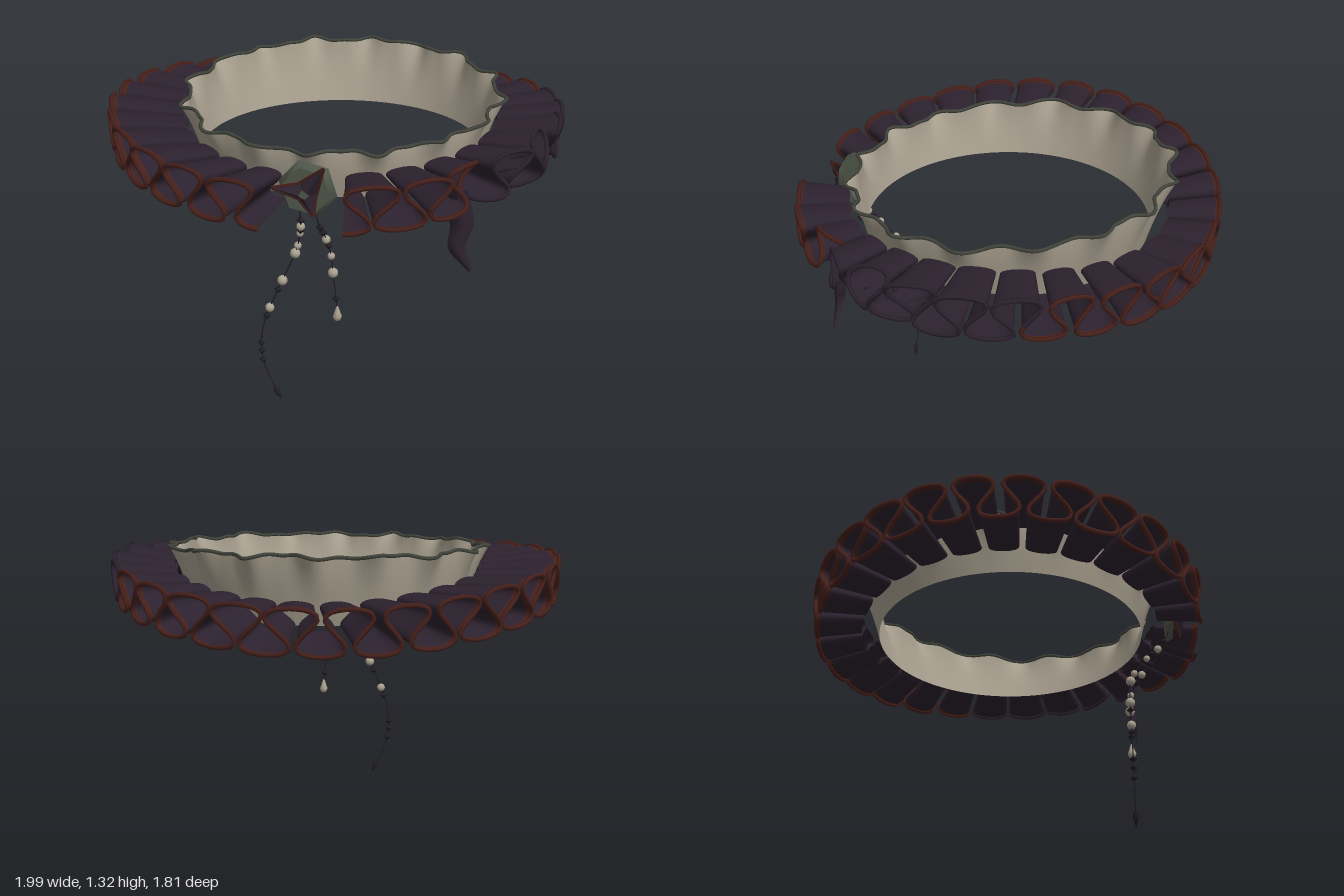
import * as THREE from 'three';
import { ParametricGeometry } from 'three/addons/geometries/ParametricGeometry.js';

const mat = (name, color, open) => {
  const m = new THREE.MeshStandardMaterial({ color });
  m.name = name;
  if (open) m.side = THREE.DoubleSide;
  return m;
};

export function createModel() {
  const M = {
    cloth: mat('dark purple cloth', 0x2c212e, true),
    red: mat('rust red edging', 0x46201b, true),
    linen: mat('linen', 0xaaa190, true),
    trim: mat('grey green trim', 0x42453c),
    plate: mat('clasp green grey', 0x50564a),
    black: mat('black bead', 0x221c24),
    pearl: mat('pearl', 0xaaa18f),
  };
  const root = new THREE.Group();
  const V = (x, y, z) => new THREE.Vector3(x, y, z);
  const { lerp, smoothstep } = THREE.MathUtils;
  const add = (name, geo, material, parent = root) => {
    const mesh = new THREE.Mesh(geo, material);
    mesh.name = name;
    parent.add(mesh);
    return mesh;
  };
  const sheet = (f, nu, nv) => new ParametricGeometry((u, v, p) => p.copy(f(u, v)), nu, nv);
  const tube = (pts, r, n, sides = 5, closed = false) =>
    new THREE.TubeGeometry(new THREE.CatmullRomCurve3(pts, closed), n, r, sides, closed);

  // Neck band: plain at the foot, flaring into waves at the top, higher at the back
  const band = (u, v) => {
    const a = u * Math.PI * 2;
    const wave = Math.cos(16 * a + 0.6 * Math.sin(2 * a)) + 0.25 * Math.cos(32 * a + 1.2 * Math.sin(2 * a));
    const r = 0.62 + v * 0.066 + 0.024 * wave * v ** 3;
    const top = 1.268 - 0.043 * Math.cos(a) + 0.006 * Math.sin(11 * a) + 0.004 * Math.sin(29 * a);
    return V(0.032 + r * Math.sin(a), 1.02 + (top - 1.02) * v, r * Math.cos(a) - 0.015 * v);
  };
  add('neckBand', sheet(band, 224, 8), M.linen);
  const topEdge = Array.from({ length: 224 }, (_, i) => band(i / 224, 1));
  add('neckBandTrim', tube(topEdge, 0.008, 448, 5, true), M.trim);

  // Ruff: one long ribbon meandering up and down around the neck, open at the front
  const PLEATS = 26, START = 0.2, SPAN = Math.PI * 2 - 0.34;
  const ruff = (s, v) => {
    const t = Math.PI + s * PLEATS * Math.PI * 2;
    const base = START + s * SPAN;
    const torn = smoothstep(base, 0.6, 0.8) * (1 - smoothstep(base, 1.4, 1.6));
    const notch = 0.09 * Math.exp(-(((base - 0.8) / 0.1) ** 2));
    const a = base + (0.07 + 0.008 * Math.sin(base * 5)) * Math.sin(2 * t);
    const crumple = torn * v * 0.012 * Math.sin(base * 31);
    const out = 1 - notch - torn * (0.025 + 0.035 * Math.sin(base * 47)) + 0.01 * Math.cos(t + 0.8);
    const rx = lerp(0.69, 0.98 * out, v);
    const rz = lerp(0.70, 0.9 * out, v);
    const c = Math.cos(base);
    // The ribbon droops outwards at the front and back and is narrower at the neck
    const mid = 1.137 - (c > 0 ? 0.065 : 0.088) * c * c * lerp(0.7, 1, v);
    const h = lerp(0.06, 0.095, v);
    return V(0.028 * (1 - v) + rx * Math.sin(a), mid + h * Math.cos(t) + crumple, rz * Math.cos(a));
  };
  // Edging is rust red except along the worn stretch on the left side
  const WORN0 = 0.11, WORN1 = 0.3;
  const stretches = [[0, WORN0, M.red], [WORN0, WORN1, M.cloth], [WORN1, 1, M.red]];
  for (const [s0, s1, edge] of stretches) {
    const n = Math.round((s1 - s0) * PLEATS * 28);
    const at = (u, v) => ruff(s0 + (s1 - s0) * u, v);
    add('ruffPleats', sheet((u, v) => at(u, v * 0.92), n, 3), M.cloth);
    add('ruffEdgeStripe', sheet((u, v) => at(u, 0.92 + v * 0.08), n, 1), edge);
    const rim = Array.from({ length: n + 1 }, (_, i) => at(i / n, 1));
    add('ruffRim', tube(rim, 0.01, n, 5), edge);
  }

  // Frayed points on the worn stretch
  for (let i = 0; i < 6; i++) {
    const a = 1.0 + i * 0.09;
    const shard = add('frayedPoint', new THREE.ConeGeometry(0.028, 0.1, 4), M.cloth);
    const r = 0.93 + 0.02 * Math.sin(i * 2.3);
    shard.position.set(r * Math.sin(a), 1.13 + 0.04 * Math.sin(i * 1.9), r * 0.94 * Math.cos(a));
    shard.rotation.set(1.2, a, 0.6 * Math.sin(i * 2.7), 'YXZ');
    shard.scale.z = 0.35;
  }

  // Torn strip hanging from the ruff
  const stripPath = new THREE.CatmullRomCurve3([
    V(0.6, 1.07, 0.6), V(0.605, 1.0, 0.575), V(0.62, 0.91, 0.57), V(0.605, 0.82, 0.58), V(0.665, 0.73, 0.575)]);
  add('hangingStrip', sheet((u, v) => {
    const p = stripPath.getPoint(u);
    const w = 0.1 * (1 - 0.85 * u ** 4) * (0.75 + 0.25 * Math.sin(u * Math.PI));
    const k = v - 0.5;
    return V(p.x + k * w, p.y + k * 0.02, p.z + 0.01 - k * k * w * 1.2);
  }, 20, 6), M.cloth);

  // Front clasp: tilted plate with folded cloth points
  const clasp = new THREE.Group();
  clasp.name = 'clasp';
  clasp.position.set(0.03, 1.1, 0.75);
  root.add(clasp);
  const plate = add('claspPlate', new THREE.CylinderGeometry(0.1, 0.12, 0.035, 6), M.plate, clasp);
  plate.rotation.set(Math.PI / 2, 0.3, 0);
  const petals = [[-0.13, 0.02, 0.04], [0.075, 0.11, 0.045], [0.035, -0.09, 0.045]];
  for (const [x, y, width] of petals) {
    const len = Math.hypot(x, y), nx = -y / len * width, ny = x / len * width;
    // Each petal is a folded pair of triangles with rust edges
    const tip = V(x, y, 0.05), keel = V(x * 0.15, y * 0.15, 0.075);
    const sides = [V(nx, ny, 0.02), V(-nx, -ny, 0.02)];
    const geo = new THREE.BufferGeometry().setFromPoints([sides[0], tip, keel, keel, tip, sides[1]]);
    geo.computeVertexNormals();
    add('claspPetal', geo, M.cloth, clasp);
    for (const side of sides) add('claspPetalEdge', tube([side, tip], 0.007, 1, 4), M.red, clasp);
  }

  // Two bead strings: cord, then beads placed by height
  const strings = [
    {
      path: [[0.0, 1.02, 0.75], [-0.005, 0.94, 0.71], [-0.03, 0.84, 0.62], [-0.06, 0.74, 0.56], [-0.12, 0.6, 0.55],
        [-0.18, 0.46, 0.55], [-0.212, 0.36, 0.55], [-0.221, 0.28, 0.55], [-0.215, 0.2, 0.55], [-0.18, 0.1, 0.55], [-0.135, 0.01, 0.55]],
      pearls: [[0.915, 0.018], [0.86, 0.015], [0.775, 0.016], [0.73, 0.022], [0.595, 0.022], [0.46, 0.02]],
      darks: [0.955, 0.885, 0.55, 0.42, 0.285, 0.245, 0.2],
    },
    {
      path: [[0.06, 1.02, 0.75], [0.068, 0.94, 0.71], [0.078, 0.84, 0.62], [0.088, 0.74, 0.56], [0.095, 0.65, 0.55], [0.108, 0.53, 0.55], [0.113, 0.44, 0.55]],
      pearls: [[0.83, 0.018], [0.73, 0.016], [0.65, 0.022]],
      darks: [0.92, 0.88, 0.79, 0.53],
    },
  ];
  for (const { path, pearls, darks } of strings) {
    const group = new THREE.Group();
    group.name = 'beadString';
    root.add(group);
    const curve = new THREE.CatmullRomCurve3(path.map(p => V(...p)));
    add('cord', new THREE.TubeGeometry(curve, 60, 0.0025, 4), M.black, group);
    const pointAtHeight = y => {
      let lo = 0, hi = 1;
      for (let i = 0; i < 24; i++) {
        const m = (lo + hi) / 2;
        if (curve.getPoint(m).y > y) lo = m; else hi = m;
      }
      return curve.getPoint(lo);
    };
    for (const [y, r] of pearls)
      add('pearlBead', new THREE.SphereGeometry(r, 12, 8), M.pearl, group).position.copy(pointAtHeight(y));
    for (const y of darks)
      add('darkBead', new THREE.OctahedronGeometry(0.018), M.black, group).position.copy(pointAtHeight(y));
  }

  // String ends: a dark spindle and a pearl drop
  const lathe = pts => new THREE.LatheGeometry(pts.map(p => new THREE.Vector2(...p)), 10);
  const spindle = add('spindleEnd', lathe([[0, -0.045], [0.01, -0.012], [0.014, 0.008], [0, 0.035]]), M.black);
  spindle.position.set(-0.155, 0.045, 0.55);
  spindle.rotation.z = 0.45;
  const drop = add('pearlDrop', lathe([[0, -0.03], [0.014, -0.024], [0.02, -0.008], [0.012, 0.014], [0.004, 0.038], [0, 0.04]]), M.pearl);
  drop.position.set(0.113, 0.455, 0.55);

  return root;
}
